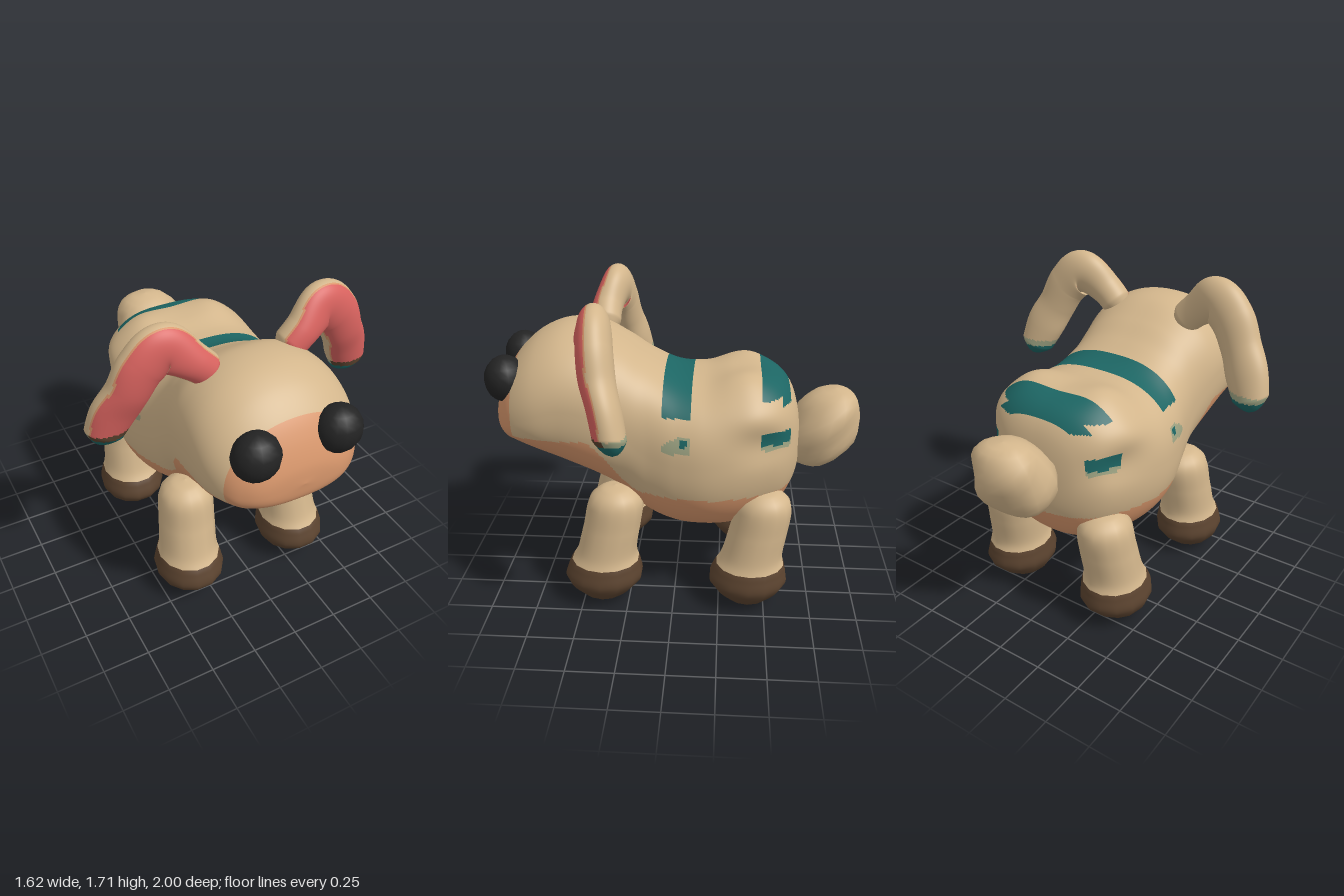
import * as THREE from 'three';

const mat = (name, color) => {
  const m = new THREE.MeshStandardMaterial({ color });
  m.name = name;
  return m;
};
const { smoothstep } = THREE.MathUtils;

// Closed skin from fn(t, angle); each quad takes a material index from rule(centre, normal).
function skin(name, rows, sides, fn, mats, rule = () => 0) {
  const pos = [], quads = [], V = [];
  for (let i = 0; i <= rows; i++)
    for (let j = 0; j < sides; j++) {
      const p = fn(i / rows, (j / sides) * Math.PI * 2);
      V.push(p);
      pos.push(p.x, p.y, p.z);
    }
  for (let i = 0; i < rows; i++)
    for (let j = 0; j < sides; j++) {
      const a = i * sides + j, b = i * sides + ((j + 1) % sides);
      quads.push([a, b, b + sides, a + sides]);
    }
  // Turn the faces outward
  let volume = 0;
  const u = new THREE.Vector3(), v = new THREE.Vector3();
  for (const [a, b, c, d] of quads) {
    volume += V[a].dot(u.crossVectors(V[b], V[c])) + V[a].dot(u.crossVectors(V[c], V[d]));
  }
  if (volume < 0) quads.forEach((q) => q.reverse());

  const buckets = mats.map(() => []);
  for (const [a, b, c, d] of quads) {
    const mid = V[a].clone().add(V[b]).add(V[c]).add(V[d]).multiplyScalar(0.25);
    const normal = u.subVectors(V[c], V[a]).cross(v.subVectors(V[d], V[b])).normalize();
    buckets[rule(mid, normal)].push(a, b, c, a, c, d);
  }
  const geo = new THREE.BufferGeometry();
  geo.setAttribute('position', new THREE.Float32BufferAttribute(pos, 3));
  geo.setIndex(buckets.flat());
  let start = 0;
  buckets.forEach((b, i) => {
    if (b.length) geo.addGroup(start, b.length, i);
    start += b.length;
  });
  geo.computeVertexNormals();
  const mesh = new THREE.Mesh(geo, mats);
  mesh.name = name;
  return mesh;
}

const spline = (pts) =>
  new THREE.CatmullRomCurve3(pts.map((p) => new THREE.Vector3(...p)), false, 'catmullrom', 0.5);
const power = (v, e) => Math.sign(v) * Math.abs(v) ** e;

export function createModel() {
  const cream = mat('cream fur', 0xd3b68c);
  const peach = mat('peach belly', 0xd8976c);
  const teal = mat('teal marking', 0x1d6664);
  const pale = mat('pale marking', 0x9fa584);
  const pink = mat('pink inner ear', 0xd9635f);
  const brown = mat('brown hoof', 0x5b432f);
  const black = mat('black eye', 0x232323);
  const model = new THREE.Group();
  model.name = 'animal';

  // Head and body: z, top, bottom, widest height, half width
  const sections = [
    [0.965, 1.05, 1.05, 1.05, 0], [0.95, 1.15, 0.96, 1.04, 0.2], [0.9, 1.27, 0.91, 1.04, 0.31],
    [0.83, 1.37, 0.88, 1.07, 0.375], [0.72, 1.46, 0.83, 1.11, 0.42], [0.58, 1.51, 0.76, 1.15, 0.43],
    [0.42, 1.5, 0.68, 1.12, 0.425], [0.27, 1.42, 0.58, 1.0, 0.405], [0.15, 1.34, 0.46, 0.9, 0.415],
    [0, 1.265, 0.4, 0.85, 0.455], [-0.15, 1.25, 0.385, 0.85, 0.475], [-0.3, 1.27, 0.39, 0.87, 0.455],
    [-0.45, 1.27, 0.43, 0.9, 0.405], [-0.56, 1.23, 0.51, 0.92, 0.345], [-0.63, 1.14, 0.62, 0.9, 0.25],
    [-0.665, 1.0, 0.72, 0.87, 0.13], [-0.67, 0.85, 0.85, 0.85, 0],
  ];
  const outline = spline(sections.map((s) => [s[0], s[1], s[2]]));
  const girth = spline(sections.map((s) => [s[3], s[4], 0]));
  const bodyPoint = (t, a) => {
    const o = outline.getPoint(t), g = girth.getPoint(t);
    const upper = Math.sin(a) > 0;
    const head = smoothstep(o.x, 0.2, 0.5);
    const e = 2 / (upper ? 2.55 - 0.45 * head : 2.25 + 0.25 * head);
    const s = power(Math.sin(a), e), c = power(Math.cos(a), e);
    const p = new THREE.Vector3(g.y * c, g.x + s * (upper ? o.y - g.x : g.x - o.z), o.x);
    // Haunch bumps on the back, overhanging a shallow hollow on each flank
    const bump = Math.exp(-((Math.abs(p.x) - 0.24) ** 2 + (p.z + 0.37) ** 2) / 0.018);
    const flank = (y, z) => Math.exp(-((p.y - y) ** 2) / 0.008 - ((p.z - z) ** 2) / 0.02);
    p.x += c * (0.035 * flank(1.13, -0.43) - 0.025 * flank(0.97, -0.48));
    if (upper) p.y += 0.045 * bump * s;
    return p;
  };
  const bodyRule = (p) => {
    const frontBand = p.z > -0.085 && p.z < 0.06, rearBand = p.z > -0.605 && p.z < -0.45;
    if (p.z > 0.845 && p.y < 1.365 - 1.1 * p.x * p.x) return 1;
    if (p.y < 0.68 + 0.3 * smoothstep(p.z, 0.19, 0.47)) return 1;
    if (frontBand && p.y > 1.115) return 2;
    if (rearBand && p.y > (p.z < -0.56 ? 1.15 : 1.19)) return 2;
    if (rearBand && p.y > 0.965 && p.y < 1.035) return 2;
    if (rearBand && p.y > 0.94 && p.y < 0.965) return 3;
    if (Math.hypot(p.z + 0.055, p.y - 1.005) < 0.022) return 2;
    if (frontBand && p.y > 0.945 && p.y < 1.035 - 0.6 * Math.max(0, p.z + 0.03)) return 3;
    return 0;
  };
  model.add(skin('body', 180, 180, bodyPoint, [cream, peach, teal, pale], bodyRule));

  // Legs with hooves: y, half width, half depth
  const legRings = spline([[0.69, 0, 0], [0.67, 0.085, 0.085], [0.6, 0.142, 0.148], [0.45, 0.152, 0.158],
    [0.3, 0.157, 0.167], [0.22, 0.177, 0.2], [0.14, 0.187, 0.212], [0.06, 0.14, 0.14], [0.015, 0.07, 0.07],
    [0.005, 0, 0]]);
  const addLeg = (name, side, z) => {
    const point = (t, a) => {
      const r = legRings.getPoint(t);
      const foot = 1 - smoothstep(r.x, 0.13, 0.65);
      return new THREE.Vector3(
        side * (0.305 + 0.025 * foot + r.y * Math.cos(a)), r.x, z + 0.075 * foot + r.z * Math.sin(a));
    };
    model.add(skin(name, 90, 14, point, [cream, brown], (p) => (p.y < 0.25 ? 1 : 0)));
  };

  // Folded ears: path, and half width / half thickness along it
  const earPath = spline([[0.18, 1.385, 0.415], [0.3, 1.5, 0.415], [0.43, 1.585, 0.375],
    [0.535, 1.51, 0.36], [0.605, 1.38, 0.34], [0.67, 1.25, 0.3], [0.74, 1.065, 0.26]]);
  const earSize = spline([[0.085, 0.085, 0], [0.095, 0.085, 0], [0.13, 0.085, 0], [0.125, 0.09, 0],
    [0.115, 0.09, 0], [0.12, 0.085, 0], [0.09, 0.08, 0]]);
  const front = new THREE.Vector3(0, 0, 1);
  const addEar = (name, side) => {
    const point = (t, a) => {
      const p = earPath.getPoint(t), r = earSize.getPoint(t);
      // Round off the two ends
      const cap = Math.sqrt(Math.min(1, t / 0.08, (1 - t) / 0.06));
      const n = new THREE.Vector3().crossVectors(earPath.getTangent(t), front).normalize();
      p.addScaledVector(n, cap * r.x * Math.cos(a)).addScaledVector(front, cap * r.y * Math.sin(a));
      p.x *= side;
      return p;
    };
    // Pink front with a thin peach rim, brown edge and teal tip
    const rule = (p, n) => {
      if (p.y < 1.13) return 2;
      if (p.y < 1.165) return n.z > 0.3 ? 4 : 3;
      if (n.z > 0.55) return 1;
      return n.z > 0.44 ? 5 : 0;
    };
    model.add(skin(name, 130, 60, point, [cream, pink, teal, pale, brown, peach], rule));
  };

  for (const [word, side, eyeX] of [['left', 1, 0.213], ['right', -1, -0.23]]) {
    addLeg(word + 'FrontLeg', side, 0.315);
    addLeg(word + 'BackLeg', side, -0.485);
    addEar(word + 'Ear', side);
    const eye = new THREE.Mesh(new THREE.SphereGeometry(1, 14, 10), black);
    eye.name = word + 'Eye';
    eye.scale.set(0.122, 0.124, 0.11);
    eye.position.set(eyeX, 1.25, 0.89);
    model.add(eye);
  }

  // Lumpy tail leaning backward
  const tailPoint = (t, a) => {
    const s = Math.sin(t * Math.PI), y = Math.cos(t * Math.PI);
    const r = 1 + 0.06 * s * Math.sin(3 * a + 4 * y) + 0.04 * s * Math.cos(5 * a);
    const round = power(s, 0.75);
    return new THREE.Vector3(
      0.015 + 0.21 * r * round * Math.cos(a), 0.94 + 0.22 * y,
      -0.797 - 0.06 * y + 0.187 * r * round * Math.sin(a));
  };
  model.add(skin('tail', 12, 16, tailPoint, [cream]));
  return model;
}
